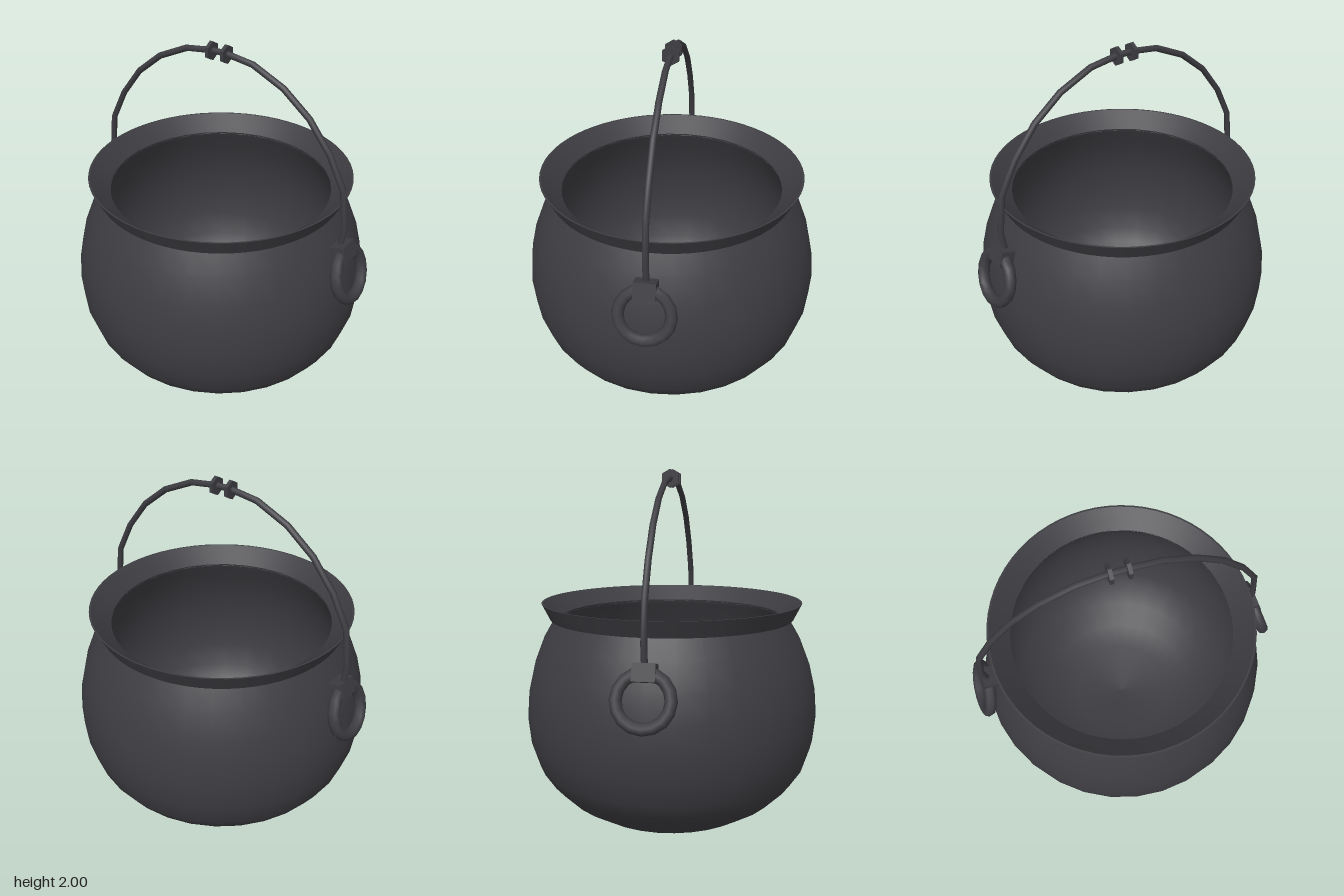
import * as THREE from 'three';
import { toCreasedNormals } from 'three/addons/utils/BufferGeometryUtils.js';

export function createModel() {
  const model = new THREE.Group();
  model.name = 'cauldron';
  const iron = new THREE.MeshStandardMaterial({ name: 'dark iron', color: 0x3d3c41 });

  const add = (name, geometry, parent = model) => {
    const mesh = new THREE.Mesh(geometry, iron);
    mesh.name = name;
    parent.add(mesh);
    return mesh;
  };
  const lathe = (points, sides) =>
    new THREE.LatheGeometry(points.map(([r, y]) => new THREE.Vector2(r, y)), sides);

  // Round pot: outer wall from the base up, and a slightly smaller inner wall back down
  const wall = [
    [0, 0.005], [0.31, 0.04], [0.47, 0.09], [0.6, 0.17], [0.7, 0.27], [0.76, 0.36],
    [0.805, 0.5], [0.82, 0.65], [0.808, 0.8], [0.775, 0.94], [0.72, 1.08], [0.65, 1.2],
  ];
  add('potOutside', lathe(wall, 32));
  const inner = wall.map(([r, y]) => [r * 0.95, 0.65 + (y - 0.65) * 0.95]).reverse();
  add('potInside', lathe([[0.61, 1.2], ...inner], 32));

  // Flared rim with a crisp lip
  const rim = [
    [0.61, 1.19], [0.68, 1.19], [0.725, 1.28], [0.715, 1.28], [0.675, 1.245], [0.61, 1.19],
  ];
  add('rim', toCreasedNormals(lathe(rim, 64), 0.7));

  // Hanging ring and its lug, front and back, leaning against the wall
  for (const side of [1, -1]) {
    const mount = new THREE.Group();
    mount.name = side > 0 ? 'frontRingMount' : 'backRingMount';
    mount.rotation.y = side > 0 ? 0 : Math.PI;
    const lean = new THREE.Group();
    lean.name = 'leaningRing';
    lean.position.set(0, 0.915, 0.82);
    lean.rotation.x = -0.3;
    add('ring', new THREE.TorusGeometry(0.135, 0.032, 8, 16), lean);
    add('lug', new THREE.BoxGeometry(0.115, 0.09, 0.08), lean).position.set(0, 0.133, -0.005);
    mount.add(lean);
    model.add(mount);
  }

  // Bail handle: a faceted arch over the pot
  const zc = -0.012;
  const half = [
    [0.765, 1.04], [0.782, 1.18], [0.755, 1.39], [0.665, 1.565],
    [0.54, 1.725], [0.387, 1.847], [0.205, 1.93], [0.045, 1.952],
  ];
  const arch = [...half, ...half.map(([z, y]) => [-z, y]).reverse()];
  const curve = new THREE.CatmullRomCurve3(arch.map(([z, y]) => new THREE.Vector3(0, y, z + zc)));
  // Place one tube ring on each given point
  curve.getPointAt = (t, target) => curve.getPoint(t, target);
  curve.getTangentAt = (t, target) => curve.getTangent(t, target);
  add('handle', new THREE.TubeGeometry(curve, arch.length - 1, 0.017, 8, false));

  // Two hexagonal collars at the top of the handle
  for (const side of [1, -1]) {
    const hex = new THREE.CylinderGeometry(0.05, 0.05, 0.02, 6).toNonIndexed();
    hex.computeVertexNormals();
    const collar = add('handleCollar', hex);
    collar.rotation.x = Math.PI / 2;
    collar.position.set(0, 1.95, zc + side * 0.046);
  }

  return model;
}
